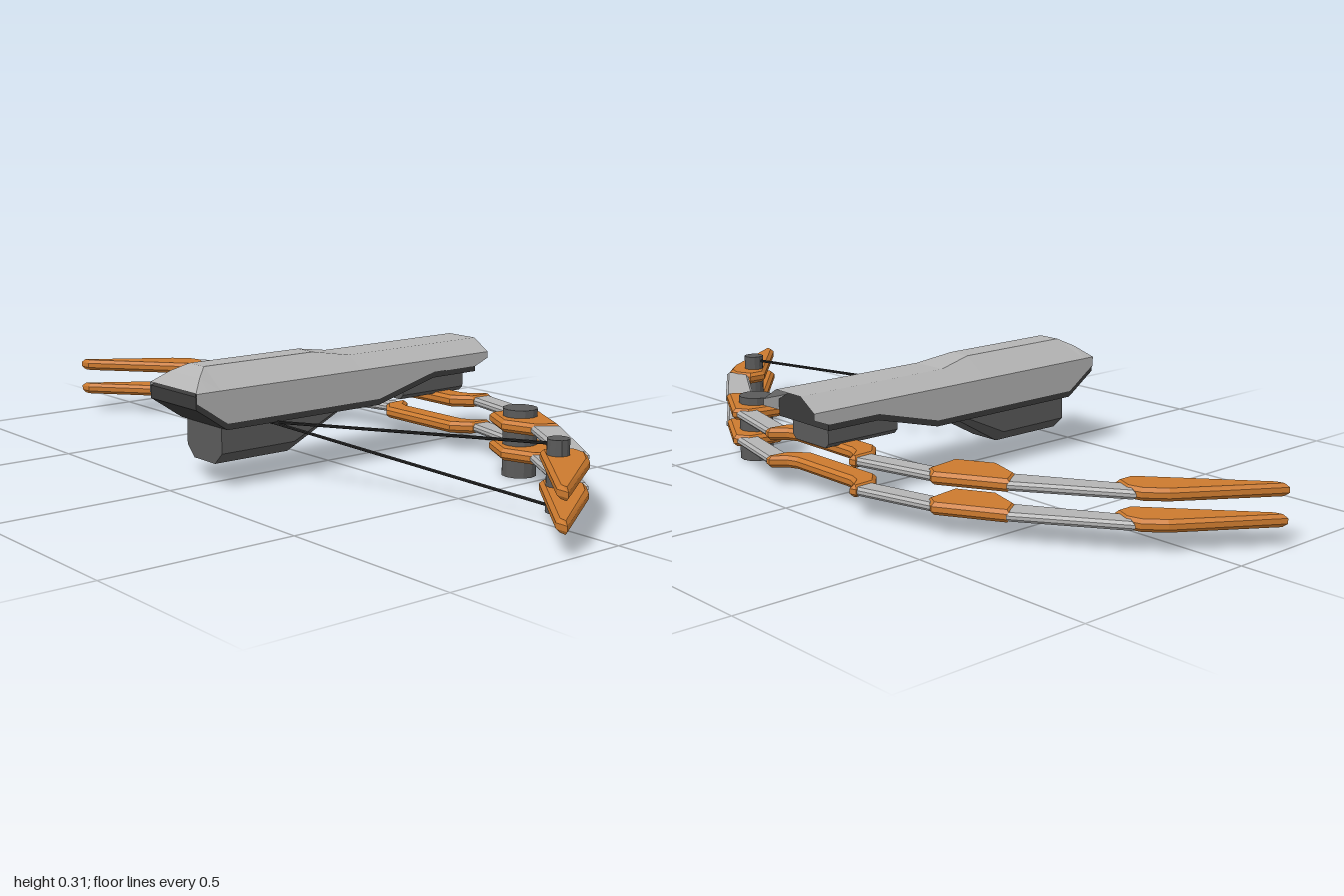
import * as THREE from 'three';

const mat = (color, side = THREE.FrontSide) =>
  new THREE.MeshStandardMaterial({ color, flatShading: true, side });
const ORANGE = mat(0xcc7a2e);
const LIGHT = mat(0xb4b4b4);
const SHELL = mat(0xb4b4b4, THREE.DoubleSide);
const DARK = mat(0x3a3a3a);
const GREY = mat(0x5a5a5a);
const STRING = mat(0x222222);

// Joins rings of [y, z] points placed along x; a closed loft also gets end caps.
function loft(sections, closed = true) {
  const pos = [];
  const P = (s, j) => [s.x, ...s.ring[j % s.ring.length]];
  const n = sections[0].ring.length;
  for (let i = 0; i < sections.length - 1; i++) {
    const s = sections[i], t = sections[i + 1];
    for (let j = 0; j < (closed ? n : n - 1); j++) {
      pos.push(...P(s, j), ...P(s, j + 1), ...P(t, j + 1));
      pos.push(...P(s, j), ...P(t, j + 1), ...P(t, j));
    }
  }
  if (closed) {
    const s = sections[0], e = sections[sections.length - 1];
    for (let j = 1; j < n - 1; j++) {
      pos.push(...P(s, 0), ...P(s, j + 1), ...P(s, j));
      pos.push(...P(e, 0), ...P(e, j), ...P(e, j + 1));
    }
  }
  const g = new THREE.BufferGeometry();
  g.setAttribute('position', new THREE.Float32BufferAttribute(pos, 3));
  g.computeVertexNormals();
  return g;
}

// Bevelled flat plate from an outline of [x, z] points, centred on y = 0.
function plate(points, thickness, bevel) {
  const shape = new THREE.Shape(points.map(([x, z]) => new THREE.Vector2(x, -z)));
  const depth = thickness - 2 * bevel;
  const g = new THREE.ExtrudeGeometry(shape, {
    depth, bevelEnabled: true, bevelThickness: bevel, bevelSize: bevel,
    bevelOffset: -bevel, bevelSegments: 1,
  });
  return g.translate(0, 0, -depth / 2).rotateX(-Math.PI / 2);
}

const mirror = (pts) => pts.map(([x, z]) => [x, -z]).reverse();

export function createModel() {
  const model = new THREE.Group();
  model.name = 'crossbow';
  const add = (name, geometry, material, parent = model) => {
    const mesh = new THREE.Mesh(geometry, material);
    mesh.name = name;
    parent.add(mesh);
    return mesh;
  };

  // Body stations: x, lower edge, shoulder, roof height, roof half width
  const stations = [
    [-0.485, 0.23, 0.255, 0.256, 0.1],
    [-0.45, 0.207, 0.255, 0.285, 0.065],
    [-0.415, 0.183, 0.255, 0.305, 0.032],
    [-0.395, 0.17, 0.255, 0.305, 0.032],
    [-0.075, 0.17, 0.255, 0.305, 0.032],
    [0.03, 0.17, 0.255, 0.288, 0.05],
    [0.09, 0.17, 0.255, 0.288, 0.05],
    [0.285, 0.22, 0.255, 0.288, 0.05],
    [0.44, 0.22, 0.255, 0.288, 0.05],
    [0.485, 0.238, 0.255, 0.288, 0.05],
  ];
  const bodyRing = (low, mid, top, topW, w) =>
    [[low, -w], [mid, -w], [top, -topW], [top, topW], [mid, w], [low, w]];

  // Light cover, open below and at the ends
  add('topCover', loft(stations.map(([x, low, mid, top, tw]) =>
    ({ x, ring: bodyRing(low, mid, top, tw, 0.103) })), false), SHELL);

  // Dark core inside the cover, showing as a strip beneath it
  add('underbody', loft(stations.slice(0, -1).map(([x, low, mid, top, tw]) =>
    ({ x, ring: bodyRing(low - 0.015, mid - 0.007, top - 0.008, tw - 0.004, 0.1) }))), DARK);

  // Blocks under the body with a chamfered lower edge
  const block = (x, low, top, w, chamfer) => ({
    x,
    ring: [[low, -w + chamfer], [low + chamfer, -w], [top, -w],
      [top, w], [low + chamfer, w], [low, w - chamfer]],
  });
  add('grip', loft([
    block(-0.395, 0.06, 0.18, 0.075, 0.03),
    block(-0.17, 0.06, 0.18, 0.075, 0.03),
    block(0.02, 0.165, 0.18, 0.075, 0.01),
  ]), GREY);
  add('bowMount', loft([
    block(0.2, 0.15, 0.21, 0.072, 0.012),
    block(0.42, 0.15, 0.21, 0.072, 0.012),
  ]), GREY);

  // Bow limb outlines for the +z side
  const tip = [[-0.165, 1], [-0.163, 0.965], [0.05, 0.715], [0.1, 0.715],
    [0.122, 0.765], [0.112, 0.805], [0.07, 0.85]];
  const outerBar = [[0.085, 0.75], [0.125, 0.8], [0.292, 0.56], [0.232, 0.51]];
  const middle = [[0.285, 0.565], [0.23, 0.53], [0.203, 0.44], [0.255, 0.345],
    [0.355, 0.36], [0.378, 0.4]];
  const innerBar = [[0.315, 0.38], [0.372, 0.39], [0.425, 0.17], [0.365, 0.165]];
  const halfCentre = [[0.385, 0.11], [0.395, 0.135], [0.43, 0.165], [0.425, 0.183],
    [0.36, 0.178], [0.318, 0.13], [0.318, 0.1]];
  const centre = [...halfCentre, ...mirror(halfCentre)];

  // Two stacked bows
  for (const [name, y] of [['upperBow', 0.14], ['lowerBow', 0.067]]) {
    const bow = new THREE.Group();
    bow.name = name;
    bow.position.y = y;
    model.add(bow);
    add('bowCentre', plate(centre, 0.031, 0.009), ORANGE, bow);
    for (const [side, outline] of [['left', mirror], ['right', (p) => p]].map(
      ([s, f]) => [s === 'left' ? 'back' : 'front', f])) {
      add(side + 'InnerBar', plate(outline(innerBar), 0.022, 0.007), LIGHT, bow);
      add(side + 'MiddlePlate', plate(outline(middle), 0.031, 0.009), ORANGE, bow);
      add(side + 'OuterBar', plate(outline(outerBar), 0.022, 0.007), LIGHT, bow);
      add(side + 'TipPlate', plate(outline(tip), 0.031, 0.009), ORANGE, bow);
    }
  }

  // Pins through the front limbs
  const pin = (name, x, z, r, y0, y1) =>
    add(name, new THREE.CylinderGeometry(r, r, y1 - y0, 12), GREY)
      .position.set(x, (y0 + y1) / 2, z);
  pin('limbPin', 0.285, 0.425, 0.045, 0, 0.175);
  pin('stringPin', 0.043, 0.778, 0.027, 0.02, 0.193);

  // Strings from the string pin to the grip
  const anchor = new THREE.Vector3(-0.25, 0.153, 0.08);
  for (const [name, y] of [['upperString', 0.18], ['lowerString', 0.03]]) {
    const path = new THREE.LineCurve3(anchor, new THREE.Vector3(0.043, y, 0.778));
    add(name, new THREE.TubeGeometry(path, 1, 0.004, 6), STRING);
  }
  return model;
}
